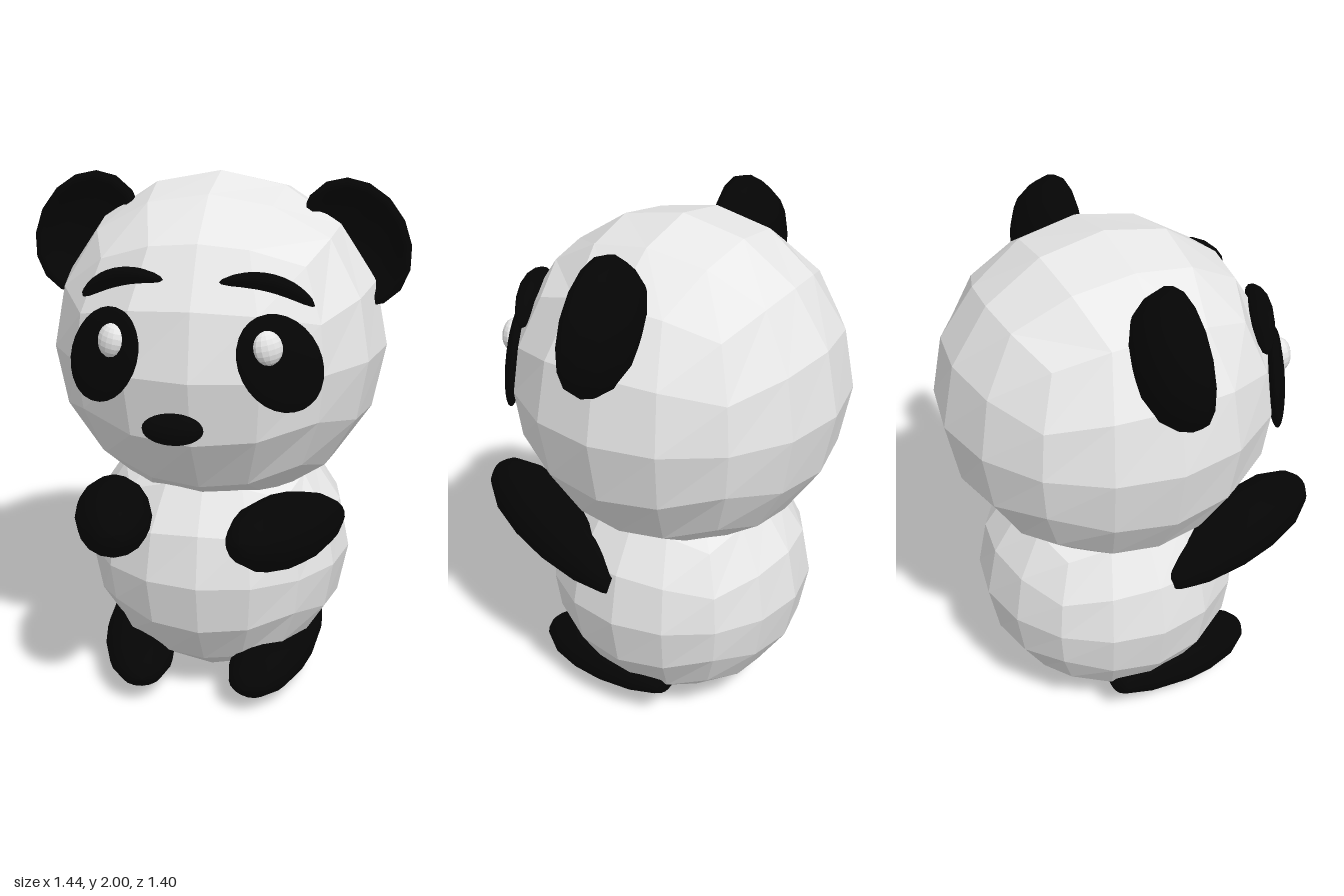
import * as THREE from 'three';

const deg = THREE.MathUtils.degToRad;

function material(name, color, flatShading = false) {
  const m = new THREE.MeshStandardMaterial({ color, flatShading });
  m.name = name;
  return m;
}

// Low-poly ball made from a cube grid pushed out onto a sphere
function cubeSphere(radius) {
  const geo = new THREE.BoxGeometry(2, 2, 2, 4, 4, 4);
  const pos = geo.attributes.position;
  const v = new THREE.Vector3();
  for (let i = 0; i < pos.count; i++) {
    v.fromBufferAttribute(pos, i);
    v.set(...v.toArray().map((c) => Math.tan(c * Math.PI / 4)));
    v.setLength(radius);
    pos.setXYZ(i, v.x, v.y, v.z);
  }
  geo.computeVertexNormals();
  return geo;
}

// Profile turned around the z axis
function turned(profile, segments = 16) {
  const points = profile.map(([r, h]) => new THREE.Vector2(r, h));
  return new THREE.LatheGeometry(points, segments).rotateX(Math.PI / 2);
}

// Flattened ellipsoid bent downwards and backwards at its ends
function browGeometry() {
  const geo = new THREE.SphereGeometry(1, 16, 10).scale(0.175, 0.03, 0.045);
  const pos = geo.attributes.position;
  for (let i = 0; i < pos.count; i++) {
    const x = pos.getX(i);
    pos.setY(i, pos.getY(i) - 1.1 * x * x);
    pos.setZ(i, pos.getZ(i) - 0.8 * x * x);
  }
  geo.computeVertexNormals();
  return geo;
}

export function createModel() {
  const model = new THREE.Group();
  model.name = 'panda';
  const white = material('white fur', 0xe7e7e7, true);
  const black = material('black fur', 0x050505);

  function add(name, geo, mat, position, rotation = [0, 0, 0], scale = [1, 1, 1]) {
    const mesh = new THREE.Mesh(geo, mat);
    mesh.name = name;
    mesh.position.set(...position);
    mesh.rotation.set(...rotation.map(deg), 'YXZ');
    mesh.scale.set(...scale);
    model.add(mesh);
    return mesh;
  }

  // Head and body
  add('head', cubeSphere(0.64), white, [0, 1.36, -0.06]);
  add('body', cubeSphere(0.52), white, [0, 0.52, -0.06]);

  const ball = new THREE.SphereGeometry(1, 20, 14);
  const smallBall = new THREE.SphereGeometry(1, 14, 10);
  const brow = browGeometry();

  // Cupped ear, open to the front
  const ear = turned([
    [0, -0.19], [0.4, -0.18], [0.75, -0.14], [0.94, -0.08], [1, -0.03],
    [0.97, 0], [0.85, 0], [0.75, -0.04], [0.5, -0.08], [0, -0.1],
  ]);

  // Limb with a blunt, narrow rear end and a rounded paw
  const limb = turned([
    [0, 0], [0.33, 0], [0.42, 0.03], [0.74, 0.2], [0.96, 0.43],
    [1, 0.6], [0.88, 0.8], [0.56, 0.94], [0.3, 0.985], [0, 1],
  ]);

  function addLimb(name, tail, tip, width, thickness) {
    const mesh = add(name, limb, black, tail);
    const end = new THREE.Vector3(...tip);
    mesh.lookAt(end);
    mesh.scale.set(width, thickness, end.distanceTo(mesh.position));
  }

  // Paired face parts
  for (const [side, s] of [['left', 1], ['right', -1]]) {
    add(`${side}Ear`, ear, black, [s * 0.51, 1.75, 0], [0, 0, s * 27], [0.2, 0.25, 1]);
    add(`${side}EyePatch`, ball, black, [s * 0.315 - 0.005, 1.425, 0.485],
      [-6, s * 30, s * 35], [0.148, 0.19, 0.035]);
    add(`${side}Eye`, smallBall, white, [s * 0.275 - 0.005, 1.49, 0.525],
      [-6, s * 30, s * 10], [0.055, 0.062, 0.04]);
    add(`${side}Eyebrow`, brow, black, [s * 0.27 - 0.005, 1.695, 0.43],
      [-28, s * 27, s * -18]);
  }
  add('nose', ball, black, [-0.05, 1.2, 0.597], [0, 0, 0], [0.11, 0.057, 0.05]);

  // Arms and legs
  addLimb('leftArm', [0.46, 0.66, -0.04], [0.2, 0.82, 0.69], 0.14, 0.14);
  addLimb('rightArm', [-0.43, 0.7, -0.01], [-0.25, 0.82, 0.69], 0.145, 0.135);
  addLimb('leftLeg', [0.36, 0.17, -0.2], [0.18, 0.11, 0.455], 0.14, 0.1);
  addLimb('rightLeg', [-0.38, 0.175, -0.2], [-0.215, 0.115, 0.455], 0.14, 0.1);

  return model;
}
